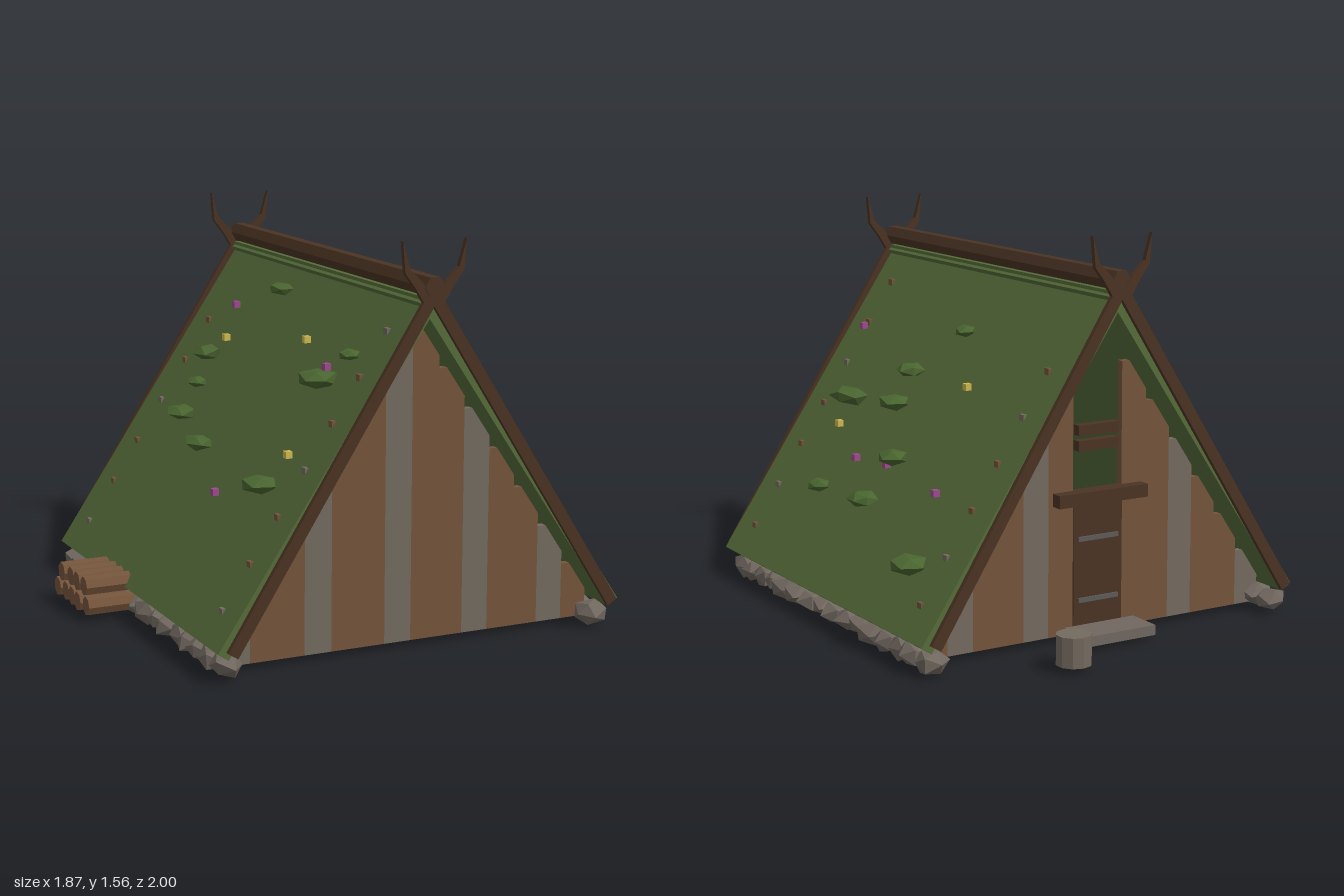
import * as THREE from 'three';

const paint = (name, color) => {
  const m = new THREE.MeshStandardMaterial({ color, flatShading: true });
  m.name = name;
  return m;
};

export function createModel() {
  const hut = new THREE.Group();
  hut.name = 'turfHut';
  const turf = paint('turf green', 0x556b39);
  const bushGreen = paint('bush green', 0x49642f);
  const darkWood = paint('dark wood', 0x4a3323);
  const brownWood = paint('brown wood', 0x74533b);
  const greyWood = paint('weathered wood', 0x736a5f);
  const stone = paint('stone', 0x70675f);
  const pink = paint('pink petals', 0x9c4a8c);
  const yellow = paint('yellow petals', 0xcdb84e);
  const iron = paint('iron', 0x5c5a58);

  const CX = 0.07, SLOPE = 1.48, ANGLE = Math.atan(SLOPE), APEX = 1.368;
  const roofY = (x) => APEX - SLOPE * Math.abs(x - CX);

  const add = (name, geo, mat, x, y, z, parent = hut) => {
    const m = new THREE.Mesh(geo, mat);
    m.name = name;
    m.position.set(x, y, z);
    parent.add(m);
    return m;
  };
  const box = (name, w, h, d, mat, x, y, z, parent) =>
    add(name, new THREE.BoxGeometry(w, h, d), mat, x, y, z, parent);

  let seed = 7;
  const rand = () => (seed = (seed * 16807) % 2147483647) / 2147483647;

  // Faceted lump: each corner of an icosahedron is pushed in or out
  const lump = (rx, ry, rz) => {
    const geo = new THREE.IcosahedronGeometry(1, 0);
    const p = geo.attributes.position, seen = {};
    for (let i = 0; i < p.count; i++) {
      const key = [p.getX(i), p.getY(i), p.getZ(i)].map((v) => Math.round(v * 50)).join();
      const k = (seen[key] ??= 0.82 + 0.36 * rand());
      p.setXYZ(i, p.getX(i) * k * rx, p.getY(i) * k * ry, p.getZ(i) * k * rz);
    }
    geo.computeVertexNormals();
    return geo;
  };

  // Turf roof: five strips on each slope, under a narrow cap
  const T = 0.05, STRIPS = 5, STEP = 0.84 / STRIPS;
  for (const s of [1, -1]) {
    for (let i = 0; i < STRIPS; i++) {
      const d = (i + 0.5) * STEP;
      const strip = box('roofStrip', STEP / Math.cos(ANGLE), T, 1.705, turf,
        CX + s * (d - Math.sin(ANGLE) * T / 2),
        APEX - SLOPE * d - Math.cos(ANGLE) * T / 2, 0.1075);
      strip.rotation.z = -s * ANGLE;
    }
  }
  box('ridgeCap', 0.06, 0.025, 1.705, turf, CX, 1.348, 0.1075);

  // Six-sided ridge log
  const ridge = add('ridgeLog', new THREE.CylinderGeometry(0.041, 0.041, 1.77, 6), darkWood, CX, 1.4, 0.115);
  ridge.rotation.set(Math.PI / 2, Math.PI / 6, 0, 'XYZ');
  ridge.geometry.rotateY(0);

  // Gable boards with curved horns at both ends
  const horn = new THREE.Shape([
    [0, 1.36], [0.035, 1.33], [0.075, 1.395], [0.12, 1.455], [0.13, 1.57], [0.1, 1.468], [0.05, 1.42],
  ].map(([x, y]) => new THREE.Vector2(x, y)));
  const hornGeo = new THREE.ExtrudeGeometry(horn, { depth: 0.02, bevelEnabled: false });
  hornGeo.translate(0, 0, -0.01);
  for (const z of [0.985, -0.765]) {
    for (const s of [1, -1]) {
      const top = [0, 1.37], end = [0.795, 0.122];
      const dx = end[0] - top[0], dy = end[1] - top[1];
      const board = box('gableBoard', Math.hypot(dx, dy), 0.045, 0.02, darkWood,
        CX + s * dx / 2, (top[1] + end[1]) / 2, z);
      board.rotation.z = s * Math.atan2(dy, dx);
      add('horn', hornGeo, darkWood, CX, 0, z).scale.x = s;
    }
  }

  // Stepped plank walls; the back one leaves two planks open for the door
  const PW = 0.11;
  for (const [name, z, open] of [['frontPlank', 0.82, false], ['backPlank', -0.6, true]]) {
    for (let i = 0; i < 14; i++) {
      if (open && (i === 6 || i === 7)) continue;
      const top = 0.25 + 0.1635 * Math.min(i, 13 - i);
      box(name, PW, top - 0.03, 0.03, i % 3 ? brownWood : greyWood,
        -0.7 + PW * (i + 0.5), (top + 0.03) / 2, z);
    }
  }

  // Door, hinges, lintel, doorstep and the bars in the opening above
  box('door', 0.22, 0.52, 0.03, darkWood, CX, 0.29, -0.605);
  for (const y of [0.16, 0.4]) box('doorHinge', 0.18, 0.018, 0.008, iron, CX, y, -0.624);
  box('lintel', 0.4, 0.05, 0.07, darkWood, CX, 0.565, -0.63);
  box('doorstep', 0.32, 0.04, 0.15, stone, CX, 0.045, -0.705);
  for (const y of [0.76, 0.82]) box('openingBar', 0.18, 0.04, 0.04, darkWood, CX, y, -0.605);

  // Stones along both eaves
  for (const s of [1, -1]) {
    for (let i = 0; i < 16; i++) {
      const rock = add('eaveStone', lump(0.07, 0.05, 0.074), stone,
        CX + s * (0.775 + 0.015 * (rand() - 0.5)), 0.058 + 0.008 * (rand() - 0.5), -0.7 + i * 0.106);
      rock.rotation.y = rand() * 6.28;
    }
  }

  // Bushes on the roof: x, z, radius
  const bushes = [
    [0.81, -0.46, 0.075], [0.61, 0.02, 0.065], [0.72, 0.06, 0.065], [0.29, 0, 0.048],
    [0.41, 0.23, 0.055], [0.49, 0.21, 0.065], [0.73, 0.43, 0.048], [0.51, 0.57, 0.075],
    [-0.26, -0.35, 0.065], [-0.33, -0.28, 0.045], [-0.41, -0.26, 0.06], [-0.06, -0.05, 0.052],
    [-0.45, 0.03, 0.06], [-0.47, 0.65, 0.07], [-0.22, 0.62, 0.075], [-0.15, 0.75, 0.042],
  ];
  for (const [x, z, r] of bushes) {
    add('bush', lump(r, r * 0.52, r), bushGreen, x, roofY(x) + 0.085, z).rotation.y = rand() * 6.28;
  }

  // Flowers
  const flowers = [
    [yellow, [[0.41, -0.22], [0.58, 0.53], [-0.21, -0.26], [-0.15, 0.38], [-0.39, 0.73]]],
    [pink, [[0.65, -0.39], [0.64, 0.27], [0.34, 0.76], [0.63, 0.03], [-0.13, -0.34], [-0.53, 0.37], [-0.19, 0.64]]],
  ];
  for (const [mat, spots] of flowers) {
    for (const [x, z] of spots) box('flower', 0.026, 0.026, 0.026, mat, x, roofY(x) + 0.085, z);
  }

  // Firewood in two rows
  const logGeo = new THREE.CylinderGeometry(0.039, 0.039, 0.195, 7);
  logGeo.rotateZ(Math.PI / 2);
  for (let row = 0; row < 2; row++) {
    for (let i = 0; i < 5 - row; i++) {
      add('firewood', logGeo, brownWood, -0.84 + 0.012 * (rand() - 0.5) + row * 0.005,
        0.068 + row * 0.07, -0.292 + row * 0.039 + i * 0.078);
    }
  }

  // Chopping stump
  add('stump', new THREE.CylinderGeometry(0.068, 0.068, 0.115, 10), greyWood, 0.38, 0.0875, -0.932);

  return hut;
}
